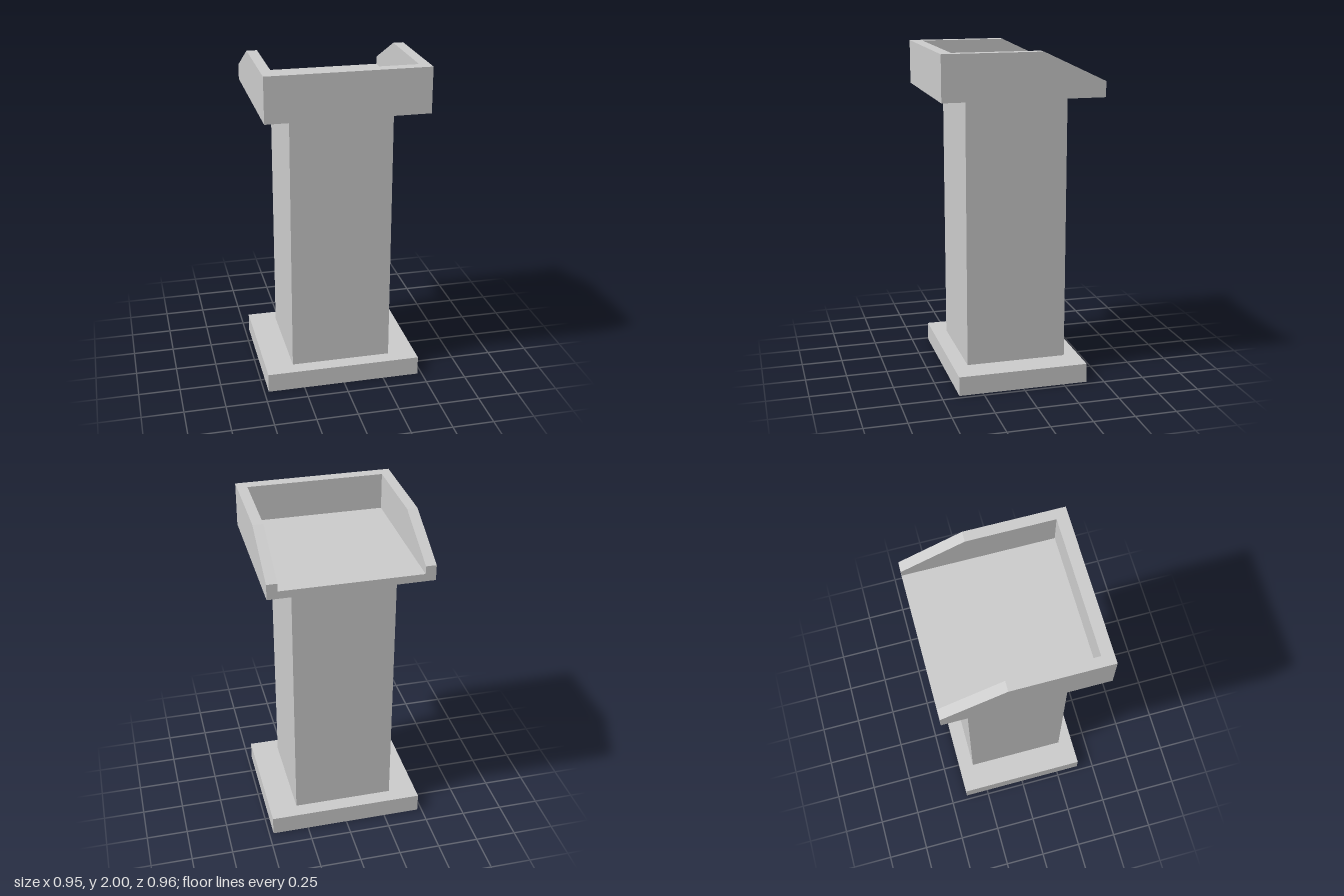
import * as THREE from 'three';

const material = new THREE.MeshStandardMaterial({ color: 0xcccccc, flatShading: true });

// Box given by its size, its underside height and its centre in z
function addBox(group, name, w, h, d, y, z = 0) {
  const mesh = new THREE.Mesh(new THREE.BoxGeometry(w, h, d), material);
  mesh.name = name;
  mesh.position.set(0, y + h / 2, z);
  group.add(mesh);
}

export function createModel() {
  const model = new THREE.Group();
  model.name = 'lectern';

  const halfW = 0.4735, halfD = 0.478;    // outer half size of the tray
  const innerW = 0.412, innerZ = 0.408;   // inner faces of the tray walls
  const baseTop = 0.117, trayY = 1.733, floorY = 1.778, top = 2;

  // Base plate and square column
  addBox(model, 'base', halfW * 2, baseTop, 0.79, 0);
  addBox(model, 'column', 0.61, trayY - baseTop, 0.61, baseTop);

  // Tray: open at the back, with a floor and a front wall between the sides
  const tray = new THREE.Group();
  tray.name = 'tray';
  model.add(tray);
  addBox(tray, 'trayFloor', innerW * 2, floorY - trayY, halfD + innerZ, trayY, (innerZ - halfD) / 2);
  addBox(tray, 'trayFrontWall', innerW * 2, top - trayY, halfD - innerZ, trayY, (innerZ + halfD) / 2);

  // Side walls slope down to the back; the profile runs along -z
  const profile = new THREE.Shape([
    [-halfD, trayY], [halfD, trayY], [halfD, 1.825], [0.107, top], [-halfD, top],
  ].map(([x, y]) => new THREE.Vector2(x, y)));
  const wall = new THREE.ExtrudeGeometry(profile, { depth: halfW - innerW, bevelEnabled: false });
  wall.rotateY(Math.PI / 2);
  for (const [name, x] of [['leftWall', innerW], ['rightWall', -halfW]]) {
    const mesh = new THREE.Mesh(wall, material);
    mesh.name = name;
    mesh.position.x = x;
    tray.add(mesh);
  }

  return model;
}
